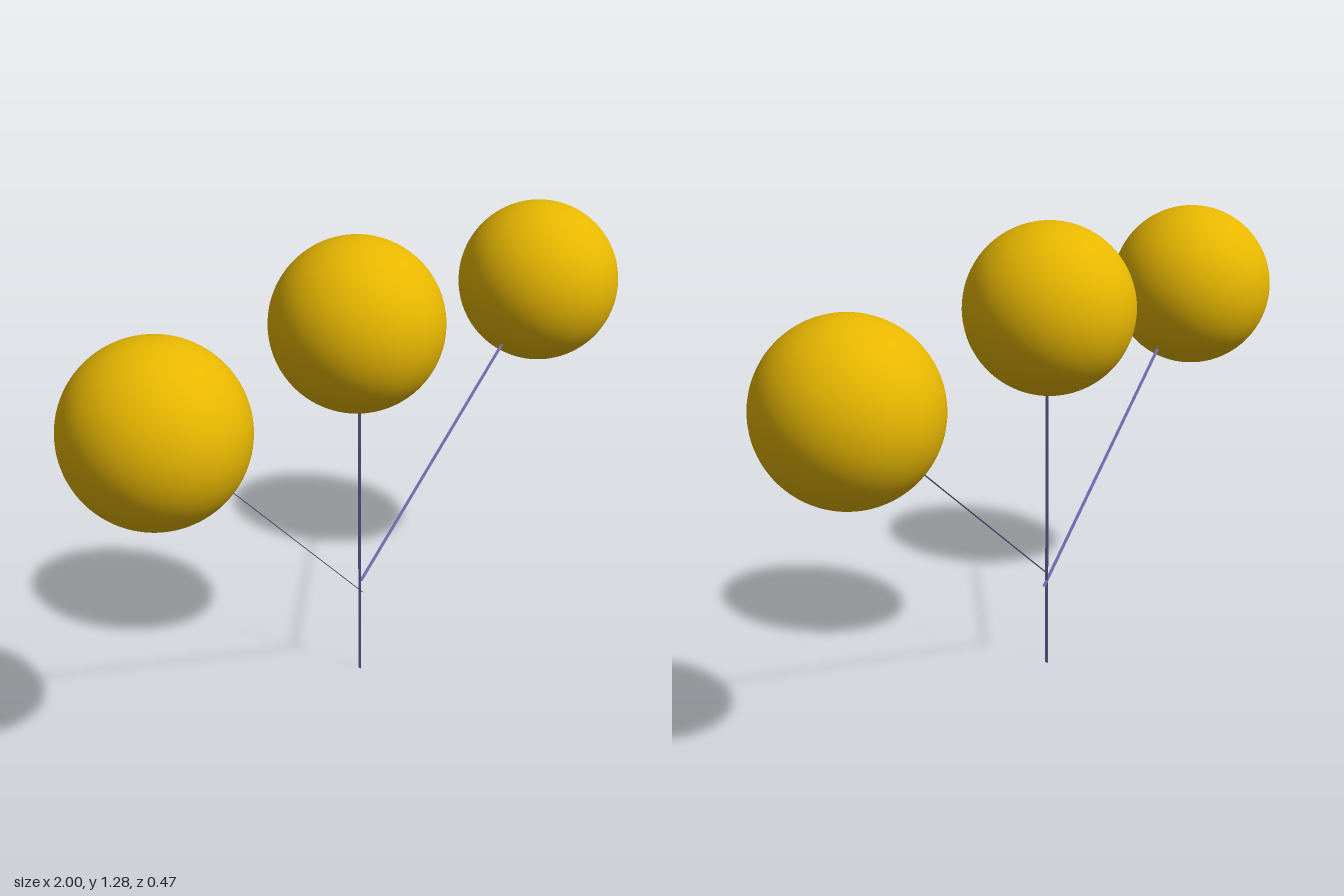
import * as THREE from 'three';

export function createModel() {
  const model = new THREE.Group();
  const yellow = new THREE.MeshStandardMaterial({ color: 0xe7b700 });
  yellow.name = 'balloonYellow';
  const lavender = new THREE.MeshStandardMaterial({ color: 0x7c78c4, side: THREE.DoubleSide });
  lavender.name = 'stringLavender';

  const radius = 0.2345;
  const ribbonWidth = 0.0105;
  const ribbonZ = 0.0075;

  // Each balloon has a centre and the lower end of its string, as [x, y]
  const balloons = [
    { name: 'right', centre: [-0.7655, 0.973], foot: [-0.028, 0.241] },
    { name: 'middle', centre: [-0.042, 1.045], foot: [-0.042, 0] },
    { name: 'left', centre: [0.7655, 0.959], foot: [-0.037, 0.282] },
  ];

  for (const { name, centre, foot } of balloons) {
    const ball = new THREE.Mesh(new THREE.SphereGeometry(radius, 64, 40), yellow);
    ball.name = name + 'Balloon';
    ball.position.set(centre[0], centre[1], 0);
    model.add(ball);

    // Flat ribbon string, edge-on to the front, ending just inside the balloon
    const dx = centre[0] - foot[0];
    const dy = centre[1] - foot[1];
    const length = Math.hypot(dx, dy) - radius + 0.01;
    const ribbon = new THREE.PlaneGeometry(ribbonWidth, length);
    ribbon.rotateY(Math.PI / 2);
    ribbon.translate(0, length / 2, 0);
    const string = new THREE.Mesh(ribbon, lavender);
    string.name = name + 'String';
    string.position.set(foot[0], foot[1], ribbonZ);
    string.rotation.z = -Math.atan2(dx, dy);
    model.add(string);
  }
  return model;
}
